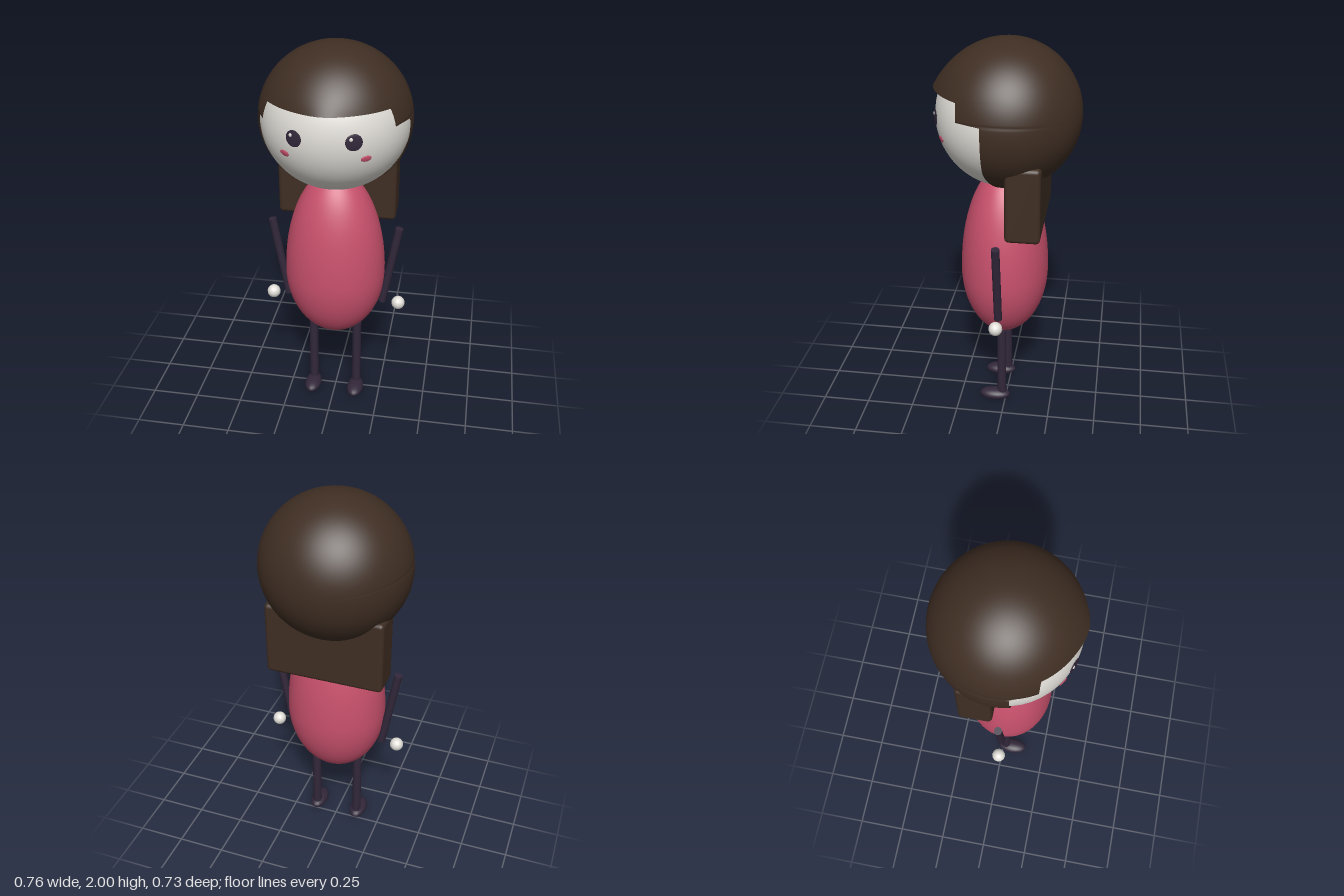
import * as THREE from 'three';
import { RoundedBoxGeometry } from 'three/addons/geometries/RoundedBoxGeometry.js';

const material = (name, color, extra = {}) => {
  const m = new THREE.MeshStandardMaterial({ color, ...extra });
  m.name = name;
  return m;
};

const HEAD = new THREE.Vector3(0, 1.63, 0);
const FACE = new THREE.Vector3(0.369, 0.357, 0.354);
const HAIR = new THREE.Vector3(0.378, 0.368, 0.365);

// Angle from the back of the head at which the hair ends, for each direction around it
function hairEdge(a) {
  const s = Math.sin(a);
  if (s > 0.425) return Math.PI - Math.asin(0.355 / s); // level fringe
  if (s > 0.13) return Math.acos(-0.55);                // short lock at the temple
  const z = s > -0.5 ? 0.22 : 0.22 * (1 - ((-s - 0.5) / 0.5) ** 2);
  return Math.acos(-z);                                 // side edge down to the neck
}

// Hair shell swept from the back of the head forward to its edge
function hairGeometry(around = 216, rings = 40) {
  const pos = [], index = [];
  for (let j = 0; j <= rings; j++) {
    const t = j / rings;
    for (let i = 0; i < around; i++) {
      const a = (i / around) * Math.PI * 2;
      const th = t * hairEdge(a);
      const flare = 1 + 0.07 * t ** 6 * Math.max(0, Math.sin(a)) ** 2;
      pos.push(
        HAIR.x * Math.sin(th) * Math.cos(a),
        HAIR.y * Math.sin(th) * Math.sin(a),
        -HAIR.z * Math.cos(th) * flare
      );
      if (j === rings) continue;
      const p = j * around + i, q = j * around + ((i + 1) % around);
      index.push(p, q, p + around, q, q + around, p + around);
    }
  }
  const g = new THREE.BufferGeometry();
  g.setAttribute('position', new THREE.Float32BufferAttribute(pos, 3));
  g.setIndex(index);
  g.computeVertexNormals();
  return g;
}

export function createModel() {
  const model = new THREE.Group();
  model.name = 'doll';

  const skin = material('skin', 0xe2dfd9);
  const hair = material('hair', 0x3f2e23, { side: THREE.DoubleSide });
  const dress = material('dress', 0xc7506c);
  const dark = material('dark', 0x32273a);

  const add = (name, geometry, mat, x, y, z) => {
    const mesh = new THREE.Mesh(geometry, mat);
    mesh.name = name;
    mesh.position.set(x, y, z);
    model.add(mesh);
    return mesh;
  };
  const ellipsoid = (rx, ry, rz, w = 48, h = 32) =>
    new THREE.SphereGeometry(1, w, h).scale(rx, ry, rz);

  // Head and hair
  add('head', ellipsoid(FACE.x, FACE.y, FACE.z), skin, ...HEAD);
  add('hairCap', hairGeometry(), hair, HEAD.x, 1.633, HEAD.z);
  add('backHair', new RoundedBoxGeometry(0.61, 0.39, 0.175, 4, 0.022), hair, 0, 1.263, -0.108);

  // Flat oval laid on the face at a given x and y
  const onFace = (name, mat, x, y, rx, ry, lift) => {
    const dy = y - HEAD.y;
    const z = FACE.z * Math.sqrt(1 - (x / FACE.x) ** 2 - (dy / FACE.y) ** 2);
    const normal = new THREE.Vector3(x / FACE.x ** 2, dy / FACE.y ** 2, z / FACE.z ** 2).normalize();
    const mesh = add(name, ellipsoid(rx, ry, 0.0045, 24, 12), mat, x, y, z);
    mesh.position.addScaledVector(normal, lift);
    mesh.quaternion.setFromUnitVectors(new THREE.Vector3(0, 0, 1), normal);
  };

  // Egg-shaped body, fuller below
  const profile = [];
  for (let i = 0; i <= 40; i++) {
    const a = -Math.PI / 2 + (i / 40) * Math.PI;
    const s = Math.sin(a);
    profile.push(new THREE.Vector2(Math.max(0, Math.cos(a)) * 0.262, 0.78 + s * (s < 0 ? 0.37 : 0.57)));
  }
  add('body', new THREE.LatheGeometry(profile, 48).scale(1, 1, 0.87), dress, 0, 0, 0.016);

  for (const [side, s] of [['left', 1], ['right', -1]]) {
    // Face details
    onFace(side + 'Eye', dark, s * 0.138, 1.64, 0.041, 0.041, 0.003);
    onFace(side + 'EyeGlint', skin, s * 0.138 - 0.013, 1.655, 0.009, 0.009, 0.007);
    onFace(side + 'Cheek', dress, s * 0.19, 1.55, 0.027, 0.016, 0.002);

    // Arms lean outward at the top, with separate round hands
    const arm = add(side + 'Arm', new THREE.CylinderGeometry(0.021, 0.021, 0.452, 12), dark, s * 0.293, 0.825, 0.017);
    arm.rotation.z = -s * 0.175;
    add(side + 'Hand', ellipsoid(0.036, 0.036, 0.036, 12, 10), skin, s * 0.34, 0.598, 0.018);

    // Legs and feet
    add(side + 'Leg', new THREE.CylinderGeometry(0.024, 0.024, 0.41, 12), dark, s * 0.12, 0.245, 0.018);
    add(side + 'Foot', ellipsoid(0.045, 0.031, 0.083, 20, 14), dark, s * 0.12, 0.031, 0.056);
  }

  return model;
}
